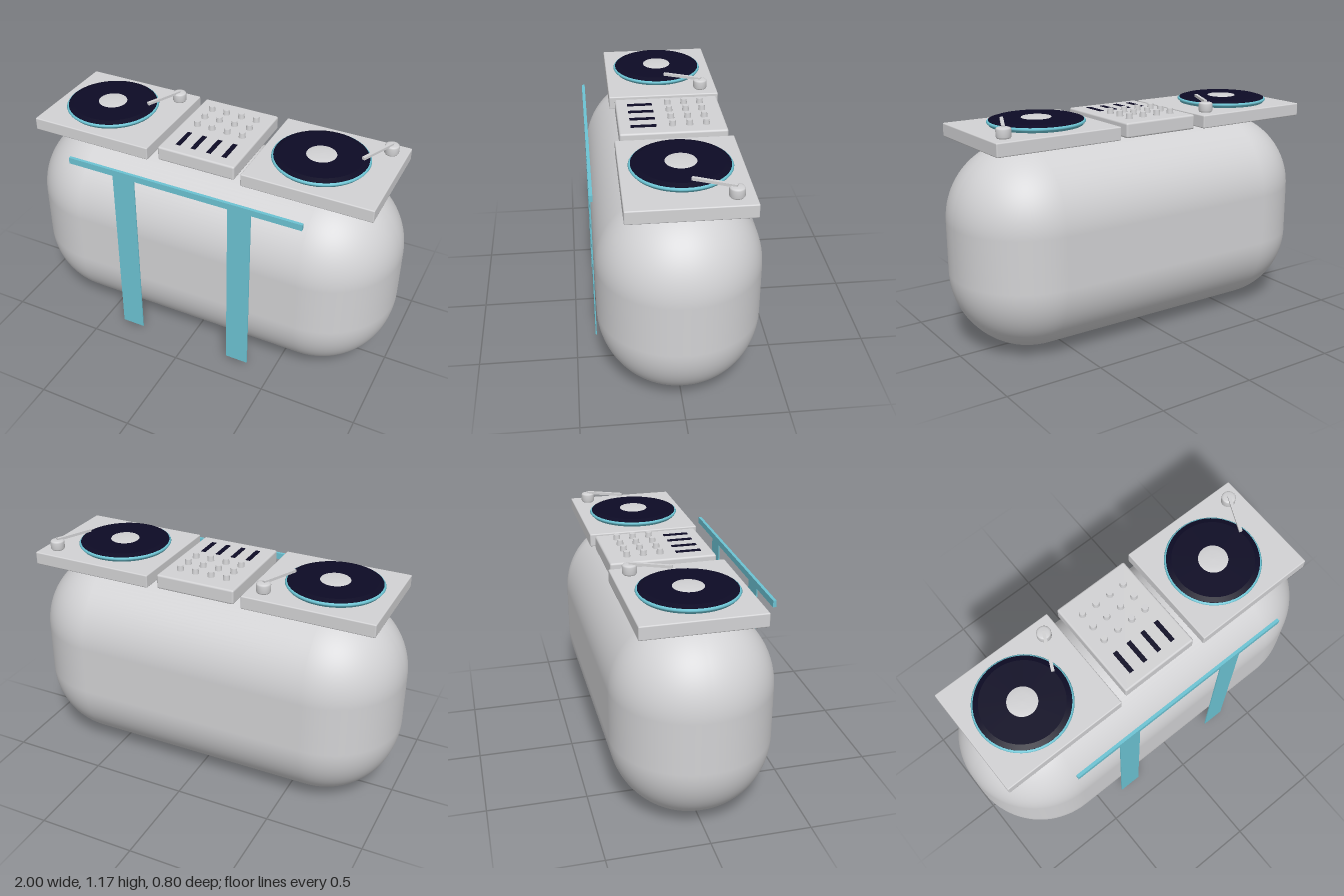
import * as THREE from 'three';
import { RoundedBoxGeometry } from 'three/addons/geometries/RoundedBoxGeometry.js';

const material = (name, color) => {
  const m = new THREE.MeshStandardMaterial({ color });
  m.name = name;
  return m;
};

export function createModel() {
  const grey = material('light grey', 0xd2d2d4);
  const teal = material('teal', 0x6cc3d3);
  const navy = material('dark navy', 0x0d0b25);

  const model = new THREE.Group();
  model.name = 'djBooth';

  const add = (parent, name, geometry, mat, x, y, z) => {
    const mesh = new THREE.Mesh(geometry, mat);
    mesh.name = name;
    mesh.position.set(x, y, z);
    parent.add(mesh);
    return mesh;
  };
  const lathe = (points) =>
    new THREE.LatheGeometry(points.map(([r, y]) => new THREE.Vector2(r, y)), 48);

  // Large pill-shaped booth
  add(model, 'boothBody', new RoundedBoxGeometry(2, 1.042, 0.792, 12, 0.39), grey, 0, 0.521, -0.004);

  // Front trim: top rail and two hanging strips
  add(model, 'frontRail', new THREE.BoxGeometry(1.25, 0.033, 0.016), teal, 0, 1.018, 0.394);
  for (const x of [-0.315, 0.31]) {
    add(model, 'frontStrip', new THREE.BoxGeometry(0.12, 0.965, 0.006), teal, x, 0.522, 0.397);
  }

  // Turntables, both with the arm on the +x side
  for (const x of [-0.585, 0.58]) {
    const deck = new THREE.Group();
    deck.name = 'turntable';
    deck.position.set(x, 1.047, -0.026);
    model.add(deck);

    add(deck, 'deckBase', new RoundedBoxGeometry(0.66, 0.067, 0.58, 2, 0.006), grey, 0, 0.0335, 0);

    // Platter with a rounded rim
    add(deck, 'platter', lathe([
      [0, 0.064], [0.228, 0.064], [0.228, 0.074], [0.237, 0.077], [0.241, 0.083],
      [0.237, 0.089], [0.228, 0.092], [0, 0.092],
    ]), teal, -0.033, 0, 0.006);

    // Record with a bevelled edge, and its domed label
    add(deck, 'record', lathe([
      [0, 0.09], [0.231, 0.09], [0.231, 0.093], [0.231, 0.093],
      [0.205, 0.101], [0.205, 0.101], [0, 0.101],
    ]), navy, -0.033, 0, 0.006);
    add(deck, 'recordLabel', lathe([
      [0.075, 0.1], [0.073, 0.103], [0.04, 0.106], [0, 0.107],
    ]), grey, -0.033, 0, 0.006);

    // Tone arm on its pivot
    add(deck, 'armPivot', lathe([
      [0, 0.065], [0.03, 0.065], [0.036, 0.075], [0.036, 0.108],
      [0.033, 0.114], [0.024, 0.117], [0, 0.118],
    ]), grey, 0.25, 0, -0.203);
    const arm = add(deck, 'toneArm', new THREE.BoxGeometry(0.016, 0.014, 0.205), grey, 0.208, 0.119, -0.111);
    arm.rotation.y = Math.atan2(-0.085, 0.185);
  }

  // Mixer with rows of knobs and faders
  const mixer = new THREE.Group();
  mixer.name = 'mixer';
  mixer.position.set(-0.002, 1.047, -0.03);
  model.add(mixer);
  add(mixer, 'mixerBase', new RoundedBoxGeometry(0.415, 0.075, 0.535, 2, 0.01), grey, 0, 0.0375, 0);
  for (const x of [-0.125, -0.042, 0.043, 0.126]) {
    for (const z of [-0.168, -0.085, 0]) {
      add(mixer, 'knob', new THREE.CylinderGeometry(0.015, 0.018, 0.028, 16), grey, x, 0.088, z);
    }
    add(mixer, 'fader', new THREE.BoxGeometry(0.024, 0.006, 0.128), navy, x, 0.075, 0.144);
  }

  return model;
}
